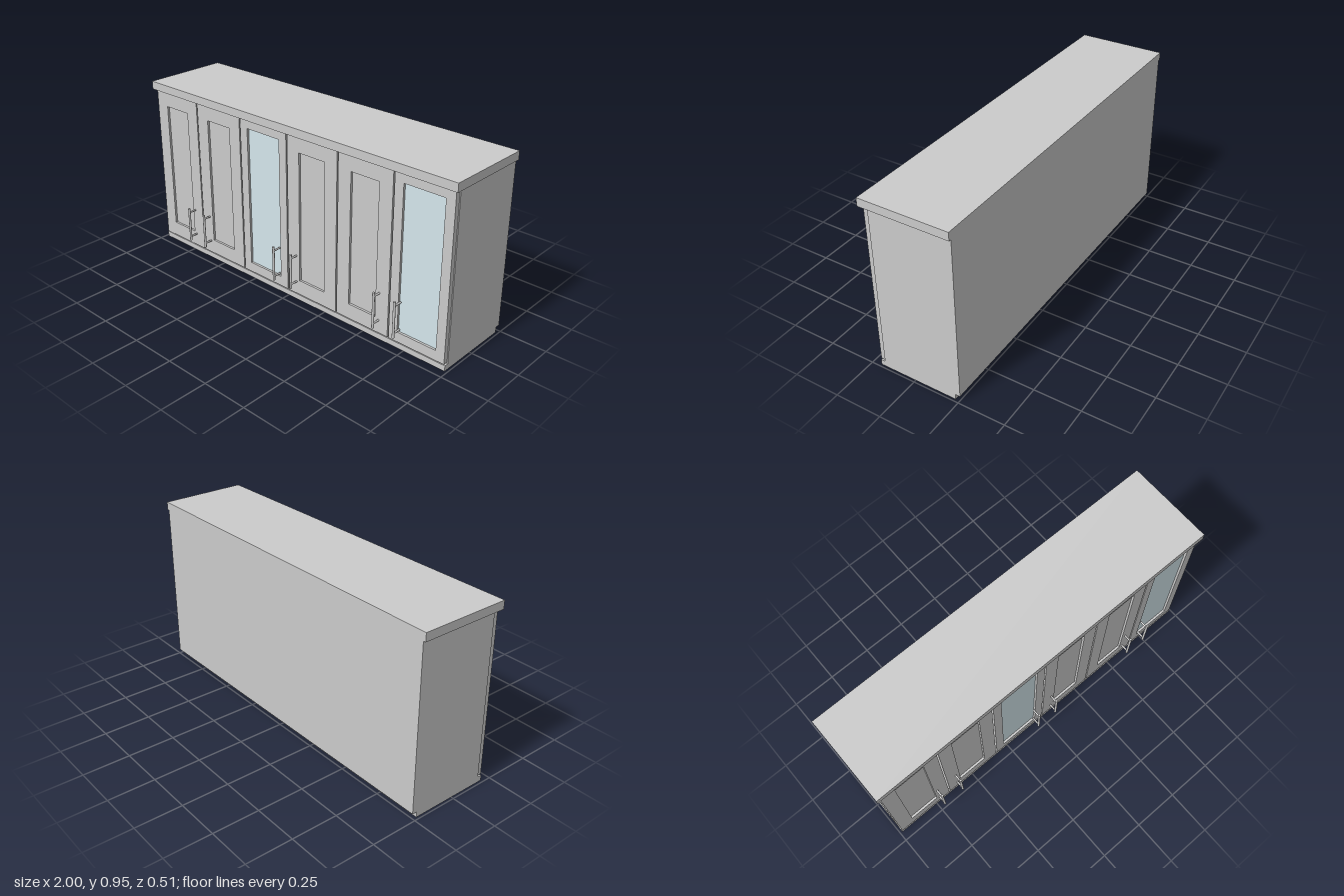
import * as THREE from 'three';

const grey = new THREE.MeshStandardMaterial({ color: 0xcccccc });
const glass = new THREE.MeshStandardMaterial({ color: 0xd4e6ec });

// Box given by its low and high corners
function box(name, [x0, y0, z0], [x1, y1, z1], material = grey) {
  const mesh = new THREE.Mesh(new THREE.BoxGeometry(x1 - x0, y1 - y0, z1 - z0), material);
  mesh.position.set((x0 + x1) / 2, (y0 + y1) / 2, (z0 + z1) / 2);
  mesh.name = name;
  return mesh;
}

const BACK = 0.18, FRONT = 0.205; // door faces
const BOTTOM = 0.036, TOP = 0.902; // door edges

function rectangle(PathType, x0, y0, x1, y1) {
  return new PathType([[x0, y0], [x1, y0], [x1, y1], [x0, y1]].map(p => new THREE.Vector2(...p)));
}

// Frame with a recessed centre panel, solid or glazed
function createDoor(centre, glazed) {
  const door = new THREE.Group();
  door.name = glazed ? 'glassDoor' : 'panelDoor';
  const half = 0.1605;
  const w = glazed ? 0.111 : 0.083;
  const [y0, y1] = glazed ? [0.09, 0.858] : [0.118, 0.825];
  const shape = rectangle(THREE.Shape, -half, BOTTOM, half, TOP);
  shape.holes.push(rectangle(THREE.Path, -w, y0, w, y1));
  const frame = new THREE.Mesh(
    new THREE.ExtrudeGeometry(shape, { depth: FRONT - BACK, bevelEnabled: false }), grey);
  frame.name = 'doorFrame';
  frame.position.z = BACK;
  door.add(frame, box(glazed ? 'glassPane' : 'doorPanel',
    [-w, y0, BACK + 0.003], [w, y1, FRONT - 0.012], glazed ? glass : grey));
  door.position.x = centre;
  return door;
}

// Upright bar on two posts
function createHandle(x) {
  const handle = new THREE.Group();
  handle.name = 'handle';
  const bar = new THREE.Mesh(new THREE.CylinderGeometry(0.0065, 0.0065, 0.196, 20), grey);
  bar.name = 'handleBar';
  bar.position.set(0, 0.182, 0.248);
  handle.add(bar);
  for (const y of [0.107, 0.257]) {
    const post = new THREE.Mesh(new THREE.CylinderGeometry(0.005, 0.005, 0.045, 16), grey);
    post.name = 'handlePost';
    post.rotation.x = Math.PI / 2;
    post.position.set(0, y, 0.2245);
    handle.add(post);
  }
  handle.position.x = x;
  return handle;
}

export function createModel() {
  const model = new THREE.Group();
  model.name = 'cabinet';

  // Body, plinth set in at the back, and overhanging worktop
  model.add(
    box('carcass', [-0.987, 0.03, -0.253], [0.987, 0.909, BACK]),
    box('plinth', [-0.987, 0, -0.228], [0.987, 0.03, 0.203]),
    box('worktop', [-1, 0.909, -0.253], [1, 0.953, 0.223]),
  );

  // Six doors; the third and sixth are glazed
  const handleX = [-0.722, -0.6, -0.062, 0.06, 0.598, 0.721];
  handleX.forEach((x, i) => {
    model.add(createDoor((i - 2.5) * 0.3287, i % 3 === 2), createHandle(x));
  });
  return model;
}
